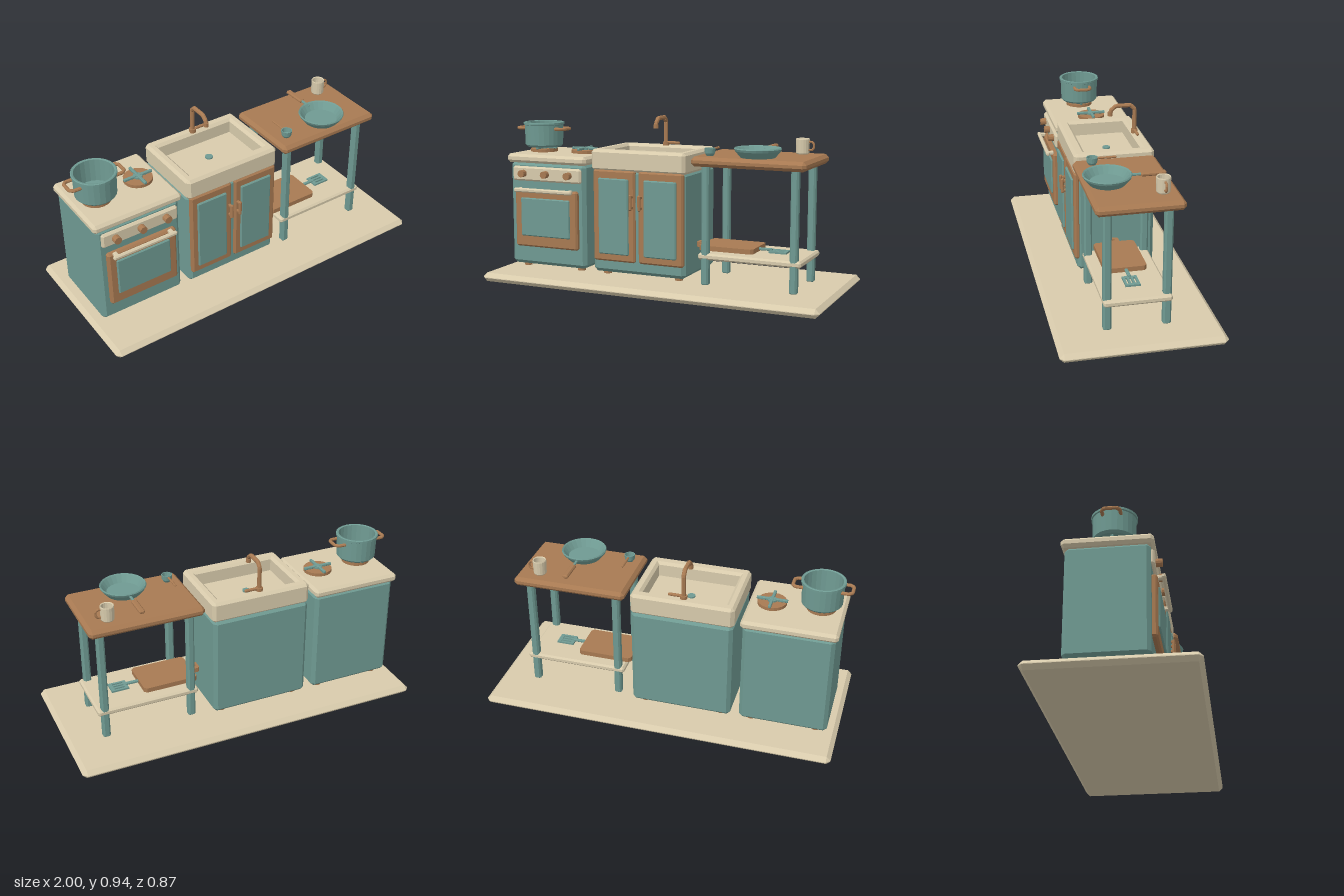
import * as THREE from 'three';
import { ConvexGeometry } from 'three/addons/geometries/ConvexGeometry.js';

const mat = (color) => new THREE.MeshStandardMaterial({ color, flatShading: true, side: THREE.DoubleSide });
const V = (x, y, z) => new THREE.Vector3(x, y, z);

export function createModel() {
  const teal = mat(0x6f9a92), wood = mat(0xa87a52), cream = mat(0xd8cbac);
  const root = new THREE.Group();

  const group = (name) => {
    const g = new THREE.Group();
    g.name = name;
    root.add(g);
    return g;
  };
  const add = (parent, name, geo, material, x = 0, y = 0, z = 0) => {
    const m = new THREE.Mesh(geo, material);
    m.name = name;
    m.position.set(x, y, z);
    parent.add(m);
    return m;
  };

  // Box between limits with every edge cut at 45 degrees
  const box = (parent, name, material, [x0, x1], [y0, y1], [z0, z1], bevel = 0.01) => {
    const h = [(x1 - x0) / 2, (y1 - y0) / 2, (z1 - z0) / 2];
    const c = Math.min(bevel, 0.48 * 2 * Math.min(...h));
    const pts = [];
    for (const sx of [-1, 1]) for (const sy of [-1, 1]) for (const sz of [-1, 1])
      for (let axis = 0; axis < 3; axis++) {
        const p = h.map((v, i) => (i === axis ? v : v - c));
        pts.push(V(sx * p[0], sy * p[1], sz * p[2]));
      }
    return add(parent, name, new ConvexGeometry(pts), material, (x0 + x1) / 2, (y0 + y1) / 2, (z0 + z1) / 2);
  };
  const disc = (parent, name, material, r, h, x, y, z, sides = 16) =>
    add(parent, name, new THREE.CylinderGeometry(r, r, h, sides), material, x, y, z);
  const lathe = (parent, name, material, profile, x, y, z, sides = 20) =>
    add(parent, name, new THREE.LatheGeometry(profile.map(([r, t]) => new THREE.Vector2(r, t)), sides), material, x, y, z);
  // Tube along straight segments
  const pipe = (parent, name, material, pts, r, steps = 8) => {
    const path = new THREE.CatmullRomCurve3(pts, false, 'catmullrom', 0);
    return add(parent, name, new THREE.TubeGeometry(path, (pts.length - 1) * steps, r, 8), material);
  };
  const rect = (path, x0, x1, y0, y1) => {
    path.moveTo(x0, y0).lineTo(x1, y0).lineTo(x1, y1).lineTo(x0, y1).closePath();
    return path;
  };
  const slab = (parent, name, material, shape, y, depth) => {
    const geo = new THREE.ExtrudeGeometry(shape, { depth, bevelEnabled: false, curveSegments: 6 });
    return add(parent, name, geo.rotateX(-Math.PI / 2), material, 0, y, 0);
  };
  const feet = (parent, xs) => {
    for (const x of xs) for (const z of [0.125, -0.182]) disc(parent, 'foot', wood, 0.023, 0.035, x, 0.06, z, 10);
  };

  // Floor plate
  box(root, 'floor', cream, [-1, 1], [0, 0.05], [-0.435, 0.435], 0.023);

  // Stove
  const stove = group('stove');
  box(stove, 'stoveBody', teal, [-0.945, -0.45], [0.07, 0.675], [-0.24, 0.19], 0.02);
  box(stove, 'stoveTop', cream, [-0.96, -0.44], [0.67, 0.72], [-0.257, 0.207], 0.015);
  box(stove, 'controlPanel', cream, [-0.92, -0.47], [0.565, 0.65], [0.17, 0.207]);
  for (const x of [-0.845, -0.695, -0.545])
    disc(stove, 'knob', wood, 0.021, 0.04, x, 0.61, 0.22, 12).rotation.x = Math.PI / 2;
  box(stove, 'ovenDoor', wood, [-0.9, -0.49], [0.18, 0.52], [0.17, 0.218]);
  box(stove, 'ovenWindow', teal, [-0.857, -0.535], [0.245, 0.47], [0.2, 0.227], 0.006);
  box(stove, 'ovenHandle', cream, [-0.885, -0.505], [0.505, 0.53], [0.236, 0.258], 0.007);
  for (const x of [-0.86, -0.53]) box(stove, 'handleMount', cream, [x - 0.012, x + 0.012], [0.506, 0.528], [0.21, 0.245], 0.004);
  feet(stove, [-0.877, -0.513]);

  // Burners with cross-shaped grates
  for (const [x, z] of [[-0.83, -0.005], [-0.567, -0.03]]) {
    disc(stove, 'burner', wood, 0.08, 0.02, x, 0.728, z, 20);
    disc(stove, 'burnerCap', teal, 0.026, 0.02, x, 0.738, z, 12);
    box(stove, 'grateBar', teal, [x - 0.085, x + 0.085], [0.737, 0.753], [z - 0.008, z + 0.008], 0.003);
    box(stove, 'grateBar', teal, [x - 0.008, x + 0.008], [0.737, 0.753], [z - 0.085, z + 0.085], 0.003);
  }

  // Cooking pot with two loop handles
  const pot = group('pot');
  lathe(pot, 'potBody', teal, [[0, 0], [0.1, 0], [0.111, 0.012], [0.114, 0.128], [0.12, 0.131], [0.12, 0.143],
    [0.115, 0.146], [0.105, 0.143], [0.101, 0.015], [0, 0.015]], -0.83, 0.75, -0.005, 24);
  for (const s of [-1, 1]) {
    const at = (dx, z) => V(-0.83 + s * dx, 0.857, z - 0.005);
    pipe(pot, 'potHandle', wood, [at(0.1, 0.046), at(0.14, 0.046), at(0.158, 0.03),
      at(0.158, -0.03), at(0.14, -0.046), at(0.1, -0.046)], 0.0095, 6);
  }

  // Sink cabinet
  const cabinet = group('sinkCabinet');
  box(cabinet, 'cabinetBody', teal, [-0.4, 0.17], [0.07, 0.66], [-0.243, 0.193], 0.02);
  for (const [x0, x1, hx] of [[-0.388, -0.127, -0.143], [-0.107, 0.165, -0.088]]) {
    box(cabinet, 'door', wood, [x0, x1], [0.138, 0.658], [0.175, 0.208]);
    box(cabinet, 'doorPanel', teal, [x0 + 0.037, x1 - 0.037], [0.18, 0.612], [0.195, 0.218], 0.006);
    box(cabinet, 'doorHandle', wood, [hx - 0.009, hx + 0.009], [0.44, 0.53], [0.222, 0.24], 0.006);
    for (const y of [0.455, 0.515]) box(cabinet, 'handleMount', wood, [hx - 0.007, hx + 0.007], [y - 0.008, y + 0.008], [0.2, 0.23], 0.003);
  }
  feet(cabinet, [-0.34, 0.107]);

  // Open basin made of floor and four walls
  const sink = group('sink');
  box(sink, 'basinFloor', cream, [-0.38, 0.15], [0.65, 0.685], [-0.22, 0.19], 0.005);
  box(sink, 'frontWall', cream, [-0.4, 0.172], [0.65, 0.77], [0.14, 0.207], 0.015);
  box(sink, 'backWall', cream, [-0.4, 0.172], [0.65, 0.77], [-0.24, -0.176], 0.015);
  for (const x of [-0.405, 0.12]) box(sink, 'sideWall', cream, [x, x + 0.055], [0.65, 0.77], [-0.235, 0.2], 0.015);
  disc(sink, 'drain', teal, 0.022, 0.01, -0.117, 0.688, -0.03);

  // Faucet
  const faucet = group('faucet');
  disc(faucet, 'faucetBase', wood, 0.02, 0.022, -0.117, 0.777, -0.193, 12);
  pipe(faucet, 'spout', wood, [[0.765, -0.193], [0.908, -0.193], [0.932, -0.17], [0.932, -0.085], [0.908, -0.057], [0.885, -0.053]]
    .map(([y, z]) => V(-0.117, y, z)), 0.0125);
  disc(faucet, 'nozzle', wood, 0.0145, 0.022, -0.117, 0.888, -0.053, 10);
  box(faucet, 'lever', wood, [-0.117, -0.03], [0.775, 0.792], [-0.201, -0.185], 0.005);

  // Table with shelf
  const table = group('table');
  box(table, 'tableTop', wood, [0.212, 0.855], [0.705, 0.758], [-0.23, 0.226], 0.018);
  for (const x of [0.28, 0.783]) for (const z of [0.157, -0.157])
    box(table, 'tableLeg', teal, [x - 0.021, x + 0.021], [0.045, 0.715], [z - 0.022, z + 0.022], 0.009);
  box(table, 'shelf', cream, [0.24, 0.825], [0.19, 0.226], [-0.18, 0.18], 0.01);

  // Cutting board with a holed grip
  const board = new THREE.Shape();
  [[0.235, -0.115], [0.52, -0.115], [0.535, -0.1], [0.535, 0.1], [0.52, 0.115], [0.235, 0.115], [0.22, 0.1],
    [0.22, 0.035], [0.182, 0.035], [0.172, 0.025], [0.172, -0.025], [0.182, -0.035], [0.22, -0.035], [0.22, -0.1]]
    .forEach(([x, y], i) => (i ? board.lineTo(x, y) : board.moveTo(x, y)));
  board.holes.push(new THREE.Path().absarc(0.198, 0, 0.013, 0, Math.PI * 2, true));
  slab(root, 'cuttingBoard', wood, board, 0.229, 0.027);

  // Slotted spatula
  const spatula = group('spatula');
  const blade = rect(new THREE.Shape(), 0.6, 0.7, -0.04, 0.04);
  for (const y of [-0.022, 0, 0.022]) blade.holes.push(rect(new THREE.Path(), 0.62, 0.68, y - 0.005, y + 0.005));
  slab(spatula, 'spatulaBlade', teal, blade, 0.23, 0.01);
  box(spatula, 'spatulaHandle', teal, [0.5, 0.61], [0.235, 0.249], [-0.009, 0.009], 0.003);

  // Frying pan
  const pan = group('fryingPan');
  lathe(pan, 'panBody', teal, [[0, 0], [0.093, 0], [0.123, 0.035], [0.128, 0.047], [0.124, 0.053], [0.117, 0.048],
    [0.09, 0.012], [0, 0.012]], 0.556, 0.758, 0.107, 24);
  box(pan, 'panNeck', teal, [0.549, 0.563], [0.787, 0.799], [-0.08, 0.0], 0.003);
  box(pan, 'panHandle', wood, [0.54, 0.572], [0.782, 0.804], [-0.2, -0.065], 0.007);

  // Mug
  const mug = group('mug');
  lathe(mug, 'mugBody', cream, [[0, 0], [0.032, 0], [0.036, 0.006], [0.038, 0.08], [0.036, 0.085], [0.031, 0.082],
    [0.029, 0.01], [0, 0.01]], 0.727, 0.76, -0.14, 16);
  pipe(mug, 'mugHandle', wood, [[0.757, 0.827], [0.78, 0.827], [0.79, 0.816], [0.79, 0.794], [0.78, 0.783], [0.757, 0.783]]
    .map(([x, y]) => V(x, y, -0.14)), 0.0065, 5);

  // Measuring scoop
  const scoop = group('scoop');
  lathe(scoop, 'scoopBowl', teal, [[0, 0], [0.018, 0], [0.028, 0.015], [0.031, 0.042], [0.026, 0.042], [0.022, 0.016],
    [0, 0.008]], 0.292, 0.757, 0.133, 14);
  box(scoop, 'scoopHandle', wood, [0.286, 0.298], [0.785, 0.797], [0.0, 0.108], 0.004);

  return root;
}
